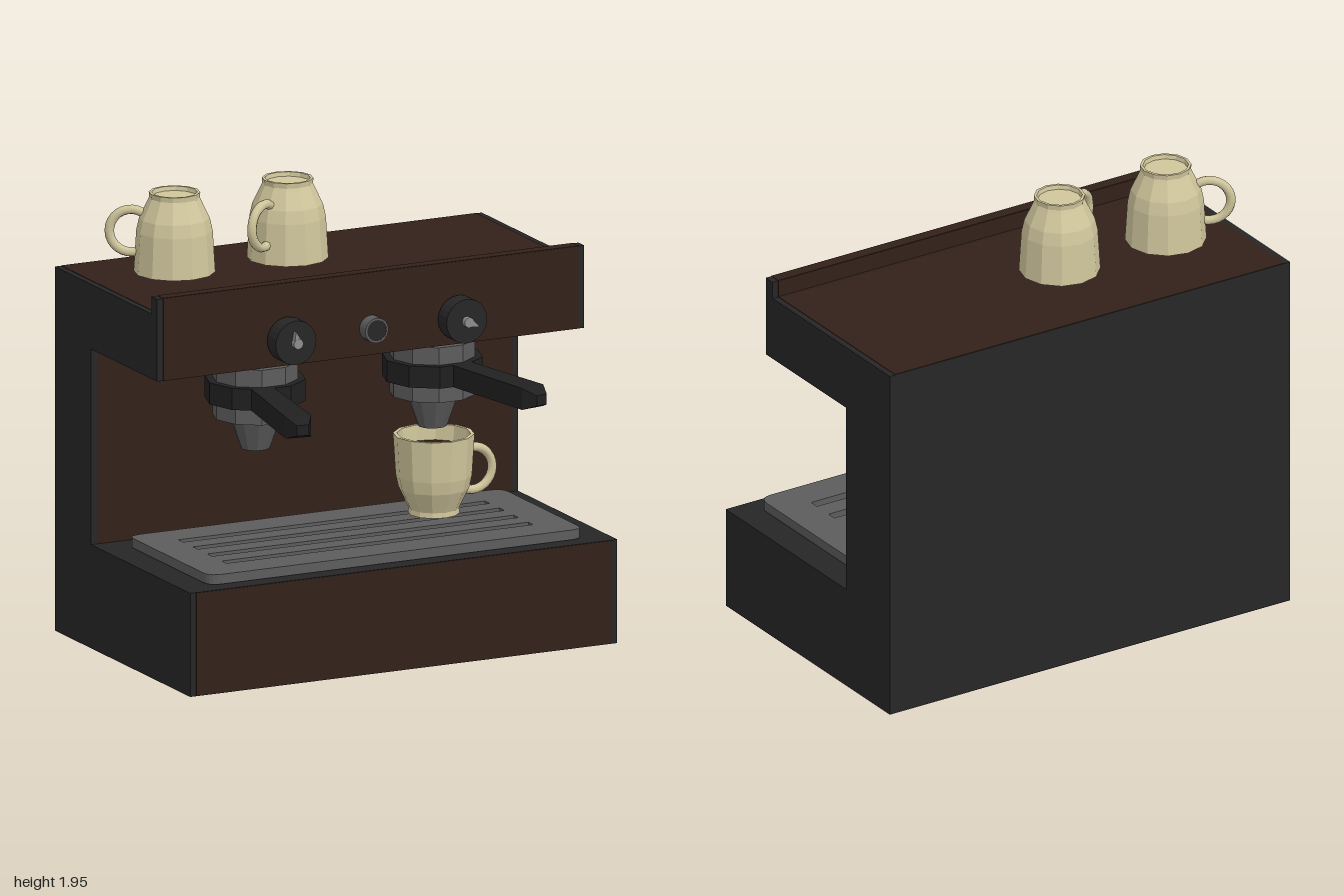
import * as THREE from 'three';

const paint = (color, flat = false) => new THREE.MeshStandardMaterial({ color, flatShading: flat });
const dark = paint(0x262626, true);
const black = paint(0x202020, true);
const brown = paint(0x33211a, true);
const steel = paint(0x5c5c5c, true);
const light = paint(0x8c8c8c, true);
const cream = paint(0xd0c69c, true);
const coffeeBrown = paint(0x2e1a10, true);

function add(parent, name, geometry, material, x = 0, y = 0, z = 0) {
  const mesh = new THREE.Mesh(geometry, material);
  mesh.name = name;
  mesh.position.set(x, y, z);
  parent.add(mesh);
  return mesh;
}

const polygon = (points) => new THREE.Shape(points.map(([x, y]) => new THREE.Vector2(x, y)));

// C-shaped housing: side outline (z, y) extruded across the width
function addBody(group) {
  const outline = polygon([
    [0.535, 0], [0.535, 0.447], [-0.38, 0.447], [-0.38, 1.29], [0.23, 1.29],
    [0.23, 1.645], [0.177, 1.645], [0.177, 1.57], [-0.715, 1.57], [-0.715, 0],
  ]);
  const geometry = new THREE.ExtrudeGeometry(outline, { depth: 2, bevelEnabled: false });
  geometry.rotateY(-Math.PI / 2).translate(1, 0, 0);
  add(group, 'housing', geometry, dark);

  // Brown facing sheets: name, height, depth, y, z
  const t = 0.004;
  const sheets = [
    ['basePanel', 0.443, t, 0.223, 0.535],
    ['backPanel', 0.84, t, 0.868, -0.38],
    ['headPanel', 0.355, t, 1.4675, 0.23],
    ['lipTop', t, 0.053, 1.645, 0.2035],
    ['lipBack', 0.075, t, 1.6075, 0.177],
    ['topPanel', t, 0.89, 1.57, -0.268],
  ];
  for (const [name, h, d, y, z] of sheets) {
    add(group, name, new THREE.BoxGeometry(1.945, h, d), brown, 0, y, z);
  }
}

// Rounded drip tray with four long slots
function addTray(group) {
  const w = 0.877, d = 0.377, r = 0.06;
  const shape = new THREE.Shape();
  shape.moveTo(-w + r, -d);
  shape.lineTo(w - r, -d).quadraticCurveTo(w, -d, w, -d + r);
  shape.lineTo(w, d - r).quadraticCurveTo(w, d, w - r, d);
  shape.lineTo(-w + r, d).quadraticCurveTo(-w, d, -w, d - r);
  shape.lineTo(-w, -d + r).quadraticCurveTo(-w, -d, -w + r, -d);
  for (let i = 0; i < 4; i++) {
    const y = -0.2 + i * 0.133;
    shape.holes.push(new THREE.Path([
      [-0.718, y - 0.022], [-0.718, y + 0.022], [0.718, y + 0.022], [0.718, y - 0.022],
    ].map(([a, b]) => new THREE.Vector2(a, b))));
  }
  const geometry = new THREE.ExtrudeGeometry(shape, { depth: 0.042, bevelEnabled: false, curveSegments: 5 });
  geometry.rotateX(-Math.PI / 2);
  add(group, 'dripTray', geometry, steel, 0, 0.451, 0.092);
}

// Brewing head, collar, spout and tapered handle
function addBrewer(group, x, handleX, angle) {
  const brewer = new THREE.Group();
  brewer.name = 'brewer';
  brewer.position.set(x, 0, -0.025);
  group.add(brewer);
  const drum = (name, top, bottom, y0, y1, material) => {
    const geometry = new THREE.CylinderGeometry(top, bottom, y1 - y0, 10).rotateY(Math.PI / 2);
    add(brewer, name, geometry, material, 0, (y0 + y1) / 2, 0);
  };
  drum('brewHead', 0.181, 0.181, 1.02, 1.258, steel);
  drum('collar', 0.213, 0.213, 1.09, 1.183, black);
  drum('spout', 0.11, 0.062, 0.88, 1.02, steel);

  // Box sections along the handle: distance, width, height
  const sections = [[0.12, 0.096, 0.093], [0.675, 0.112, 0.093], [0.738, 0.052, 0.045]];
  const geometry = new THREE.BoxGeometry(1, 1, 2, 1, 1, 2);
  const p = geometry.attributes.position;
  for (let i = 0; i < p.count; i++) {
    const [z, w, h] = sections[Math.round(p.getZ(i)) + 1];
    p.setXYZ(i, p.getX(i) * w, p.getY(i) * h, z);
  }
  geometry.computeVertexNormals();
  add(brewer, 'handle', geometry, black, handleX - x, 1.1365, 0).rotation.y = angle;
}

// Cup, handle pointing along +x before turning
function makeCup(name) {
  const cup = new THREE.Group();
  cup.name = name;
  const profile = [
    [0, 0.018], [0.092, 0.018], [0.096, 0], [0.108, 0], [0.106, 0.022], [0.112, 0.035],
    [0.148, 0.11], [0.16, 0.165], [0.171, 0.342], [0.155, 0.342], [0.146, 0.17],
    [0.134, 0.12], [0.09, 0.04], [0, 0.04],
  ].map(([r, y]) => new THREE.Vector2(r, y));
  add(cup, 'cupBody', new THREE.LatheGeometry(profile, 12), cream);
  const ends = 2.1;
  const arc = new THREE.TorusGeometry(0.092, 0.02, 8, 18, ends * 2).rotateZ(-ends);
  add(cup, 'cupHandle', arc, paint(0xd0c69c), 0.181, 0.17, 0);
  return cup;
}

function addCups(group) {
  const filled = makeCup('fullCup');
  filled.position.set(0.42, 0.505, -0.015);
  add(filled, 'coffee', new THREE.CylinderGeometry(0.15, 0.146, 0.01, 12), coffeeBrown, 0, 0.27, 0);
  group.add(filled);

  // Two upturned cups on top: x, heading of the handle
  for (const [x, heading] of [[-0.65, Math.PI * 5 / 6], [-0.12, -Math.PI * 5 / 6]]) {
    const cup = makeCup('upturnedCup');
    cup.rotation.set(Math.PI, heading, 0, 'YXZ');
    cup.position.set(x, 1.947, -0.3);
    group.add(cup);
  }
}

// Round controls on the head panel, facing +z
function addControls(group) {
  const disc = (r, d) => new THREE.CylinderGeometry(r, r, d, 24).rotateX(Math.PI / 2);
  for (const [x, angle] of [[-0.395, 0.2], [0.405, -2.0]]) {
    const knob = new THREE.Group();
    knob.name = 'knob';
    knob.position.set(x, 1.407, 0);
    group.add(knob);
    add(knob, 'knobDial', disc(0.095, 0.08), dark, 0, 0, 0.28);
    add(knob, 'knobShaft', disc(0.04, 0.02), dark, 0, 0, 0.235);
    const pointer = new THREE.Group();
    pointer.name = 'pointer';
    pointer.rotation.z = angle;
    knob.add(pointer);
    add(pointer, 'pointerHub', disc(0.022, 0.025), light, 0, 0, 0.332);
    const needle = polygon([[-0.019, 0.006], [0.019, 0.006], [0, 0.055]]);
    add(pointer, 'pointerTip', new THREE.ExtrudeGeometry(needle, { depth: 0.024, bevelEnabled: false }),
      light, 0, 0, 0.32);
  }
  add(group, 'buttonFace', disc(0.046, 0.056), dark, 0, 1.407, 0.258);
  const rim = [[0.045, -0.03], [0.054, -0.03], [0.054, 0.03], [0.045, 0.03], [0.045, -0.03]]
    .map(([r, y]) => new THREE.Vector2(r, y));
  add(group, 'buttonRim', new THREE.LatheGeometry(rim, 24).rotateX(Math.PI / 2), steel, 0, 1.407, 0.258);
}

export function createModel() {
  const group = new THREE.Group();
  group.name = 'espressoMachine';
  addBody(group);
  addTray(group);
  addBrewer(group, -0.412, -0.44, -0.16);
  addBrewer(group, 0.418, 0.425, 0.188);
  addControls(group);
  addCups(group);
  return group;
}
